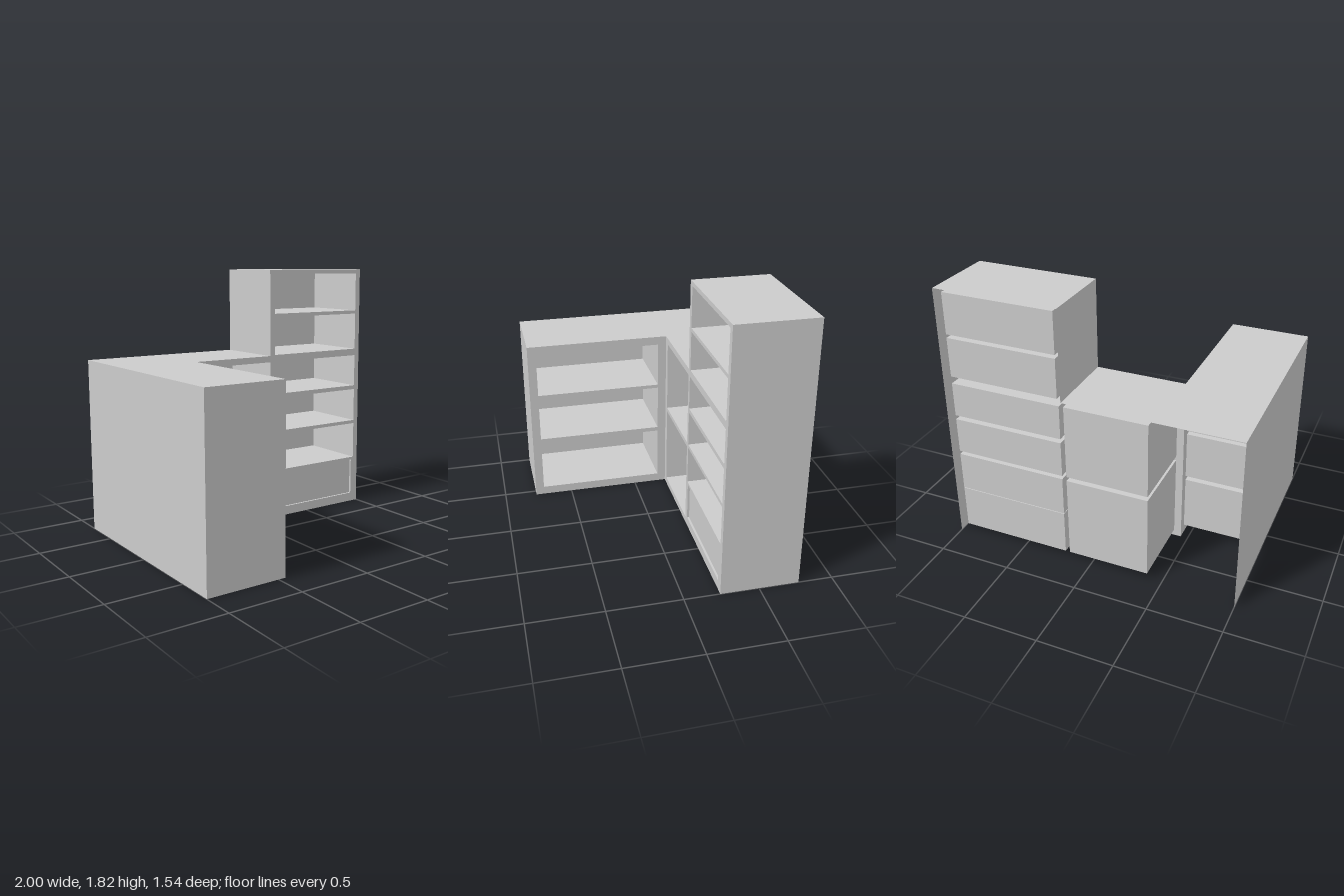
import * as THREE from 'three';

const mat = new THREE.MeshStandardMaterial({ color: 0xcccccc, side: THREE.DoubleSide });

function add(parent, geometry, name, position = [0, 0, 0], rotation = [0, 0, 0]) {
  const mesh = new THREE.Mesh(geometry, mat);
  mesh.name = name;
  mesh.position.set(...position);
  mesh.rotation.set(...rotation);
  parent.add(mesh);
  return mesh;
}

function outline(points) {
  return new THREE.Shape(points.map(([x, y]) => new THREE.Vector2(x, y)));
}

// Thin-walled compartment [x0, x1, y0, y1], open at the front (z = 0)
function addCompartment(parent, [x0, x1, y0, y1], depth, name) {
  const geometry = new THREE.BoxGeometry(x1 - x0, y1 - y0, depth);
  const index = Array.from(geometry.index.array);
  index.splice(24, 6); // drop the front side
  geometry.setIndex(index);
  geometry.clearGroups();
  add(parent, geometry, name, [(x0 + x1) / 2, (y0 + y1) / 2, -depth / 2]);
}

// Flat face frame pierced by one opening per compartment
function addFaceFrame(parent, points, openings, name) {
  const shape = outline(points);
  for (const [x0, x1, y0, y1] of openings) {
    shape.holes.push(new THREE.Path([
      new THREE.Vector2(x0, y0), new THREE.Vector2(x0, y1),
      new THREE.Vector2(x1, y1), new THREE.Vector2(x1, y0),
    ]));
  }
  add(parent, new THREE.ShapeGeometry(shape), name);
}

export function createModel() {
  const model = new THREE.Group();
  model.name = 'cornerShelvingUnit';

  const low = 1.205, tall = 1.815;
  const back = -0.77, face = -0.24, front = 0.77;
  const armX = -0.45, towerX = 0.16;
  const depth = 0.5;

  // Rear run: tower shelves, low bays and the drawer opening
  const rear = new THREE.Group();
  rear.name = 'rearRun';
  rear.position.z = face;
  model.add(rear);

  const shelves = [
    [0.2, 0.96, 1.505, 1.785],
    [0.2, 0.96, 1.21, 1.48],
    [0.19, 0.96, 0.925, 1.16],
    [0.19, 0.96, 0.65, 0.895],
    [0.19, 0.96, 0.355, 0.625],
    [-0.4, 0.16, 0.65, 1.16],
    [-0.4, 0.16, 0.045, 0.62],
  ];
  const drawer = [0.205, 0.94, 0.065, 0.335];
  addFaceFrame(rear, [
    [armX, 0], [1, 0], [1, tall], [towerX, tall], [towerX, low], [armX, low],
  ], [...shelves, drawer], 'rearFaceFrame');
  shelves.forEach((s, i) => addCompartment(rear, s, depth, `rearCompartment${i + 1}`));

  // Drawer: recessed front with its box behind
  addCompartment(rear, drawer, 0.015, 'drawerFront');
  addCompartment(rear, [0.19, 0.96, 0.045, 0.35], depth, 'drawerBox');

  // Side arm: three shelves facing +x
  const arm = new THREE.Group();
  arm.name = 'sideArm';
  arm.position.x = armX;
  arm.rotation.y = Math.PI / 2;
  model.add(arm);

  const armShelves = [[0.06, 0.44], [0.47, 0.8], [0.825, 1.145]]
    .map(([y0, y1]) => [-0.71, 0.18, y0, y1]);
  addFaceFrame(arm, [
    [-front, 0], [-face, 0], [-face, low], [-front, low],
  ], armShelves, 'armFaceFrame');
  armShelves.forEach((s, i) => addCompartment(arm, s, 0.515, `armCompartment${i + 1}`));

  // Outer panels; the back and underside stay open
  const flat = Math.PI / 2;
  const depthZ = face - back, midZ = (face + back) / 2;
  add(model, new THREE.PlaneGeometry(depthZ, tall), 'towerOuterSide', [1, tall / 2, midZ], [0, flat, 0]);
  add(model, new THREE.PlaneGeometry(depthZ, tall - low), 'towerInnerSide',
    [towerX, (tall + low) / 2, midZ], [0, -flat, 0]);
  add(model, new THREE.PlaneGeometry(1 - towerX, depthZ), 'towerTop',
    [(1 + towerX) / 2, tall, midZ], [-flat, 0, 0]);
  add(model, new THREE.PlaneGeometry(front - back, low), 'armOuterSide', [-1, low / 2, 0], [0, -flat, 0]);
  add(model, new THREE.PlaneGeometry(armX + 1, low), 'armEnd', [(armX - 1) / 2, low / 2, front]);

  // L-shaped worktop, drawn with y = -z and laid flat
  add(model, new THREE.ShapeGeometry(outline([
    [-1, -front], [armX, -front], [armX, -face], [towerX, -face], [towerX, -back], [-1, -back],
  ])), 'worktop', [0, low, 0], [-flat, 0, 0]);

  return model;
}
